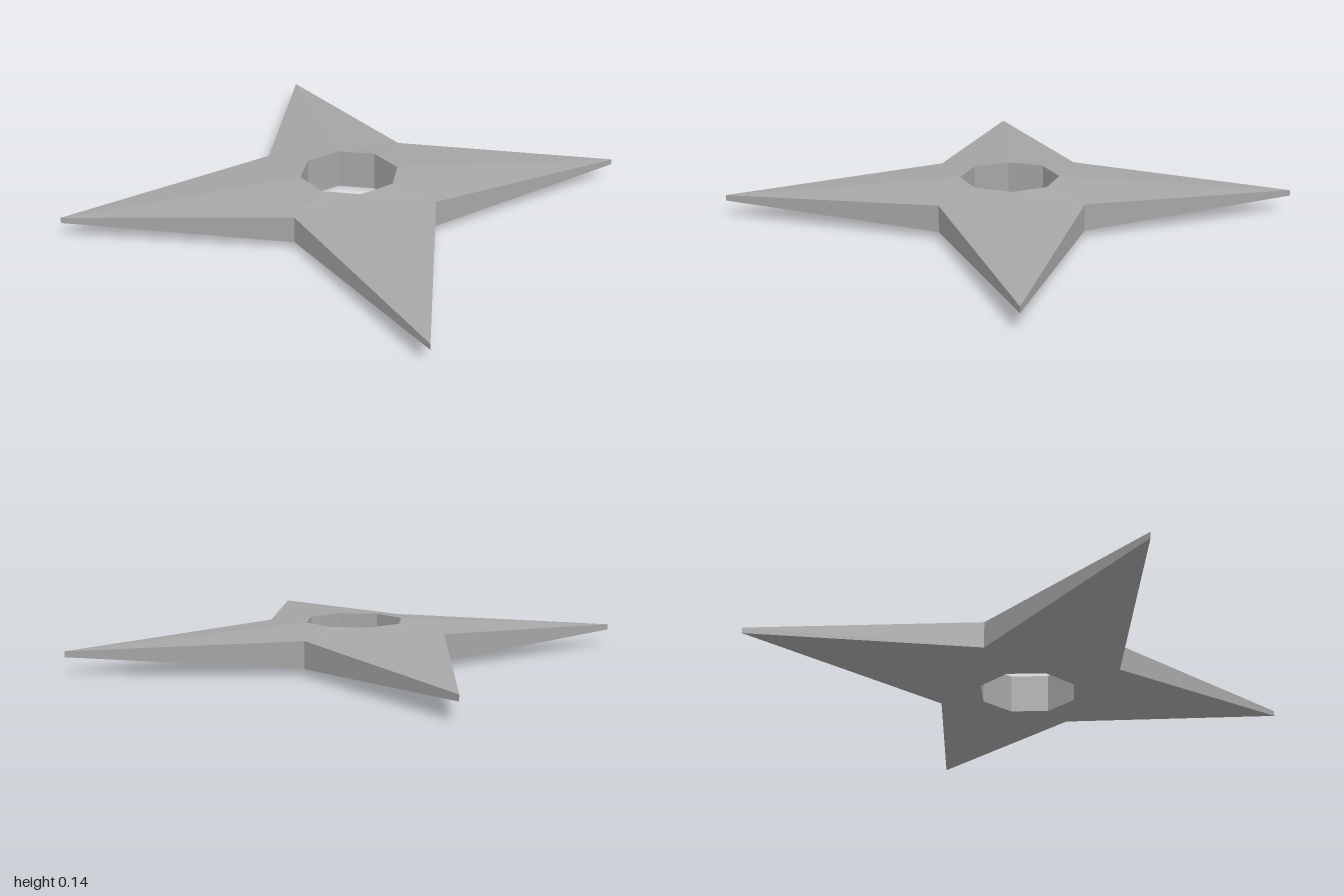
import * as THREE from 'three';

// Cross-section at a given eighth of a turn: inner top, outer top, outer bottom, inner bottom
function section(i) {
  const tip = i % 2 === 0;
  const angle = (i % 8) * Math.PI / 4;
  const inner = 0.175, outer = tip ? 1 : 0.346;
  const half = tip ? 0.01 : 0.047;
  const mid = 0.07;
  const profile = [[inner, 0.14], [outer, mid + half], [outer, mid - half], [inner, 0]];
  return profile.map(([r, y]) => [r * Math.cos(angle), y, r * Math.sin(angle)]);
}

export function createModel() {
  const group = new THREE.Group();
  group.name = 'throwingStar';
  const steel = new THREE.MeshStandardMaterial({ color: 0xa6a6a6 });
  steel.name = 'steel';

  // Join neighbouring sections into bevelled faces, outer edges and the hole wall
  const positions = [];
  for (let i = 0; i < 8; i++) {
    const s = section(i), t = section(i + 1);
    for (let k = 0; k < 4; k++) {
      const n = (k + 1) % 4;
      const a = s[k], b = s[n], c = t[n], d = t[k];
      // Crease always runs from the hole's axis corner to the notch
      const splitAC = (i % 2 === 0) !== (k === 2);
      const corners = splitAC ? [a, c, b, a, d, c] : [a, d, b, b, d, c];
      positions.push(...corners.flat());
    }
  }
  const geometry = new THREE.BufferGeometry();
  geometry.setAttribute('position', new THREE.Float32BufferAttribute(positions, 3));
  geometry.computeVertexNormals();

  const blade = new THREE.Mesh(geometry, steel);
  blade.name = 'fourPointBlade';
  group.add(blade);
  return group;
}
